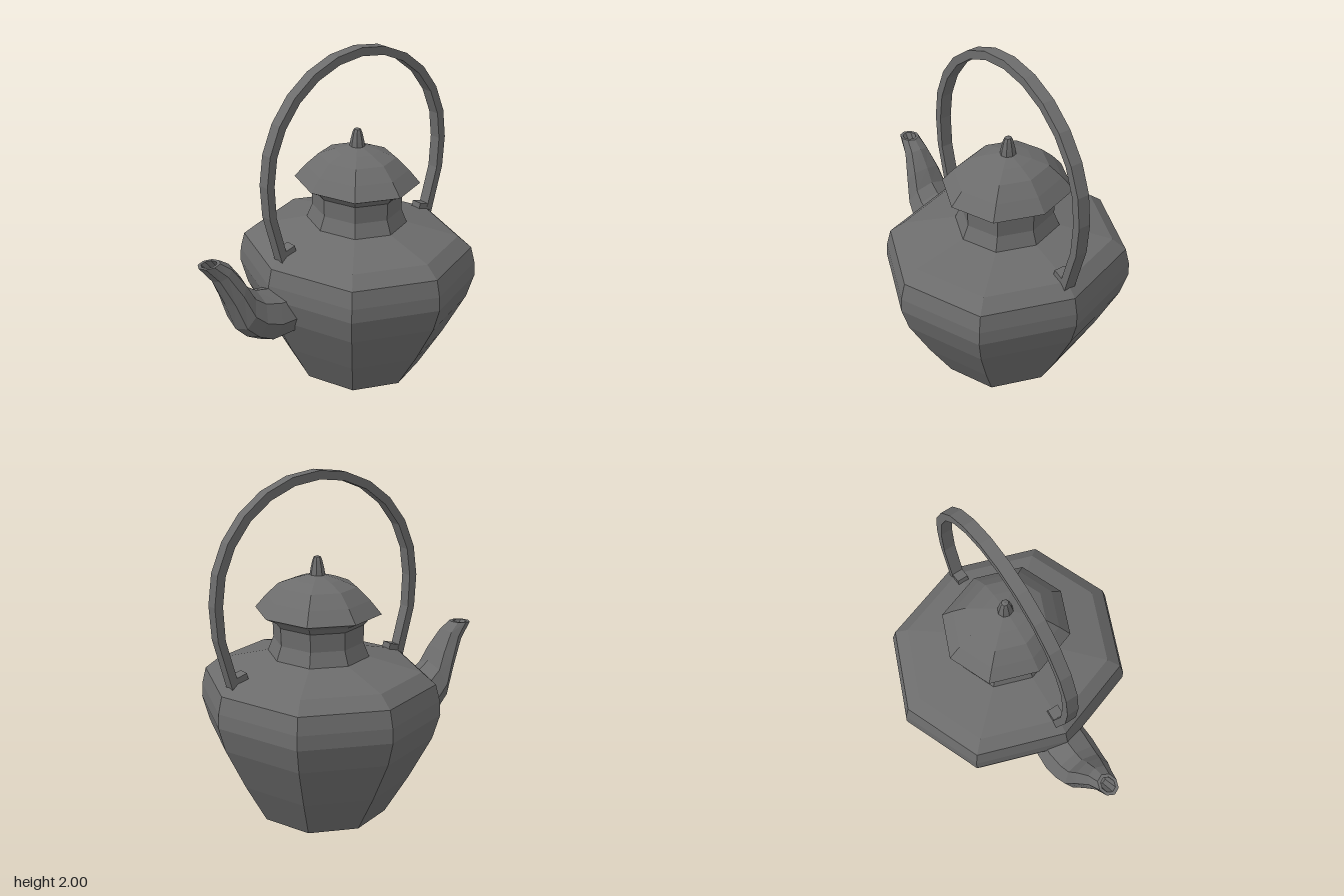
import * as THREE from 'three';

const iron = new THREE.MeshStandardMaterial({ color: 0x6c6c6c, flatShading: true });
iron.name = 'cast iron grey';
const CENTER_X = 0.205;

function part(name, geometry) {
  const mesh = new THREE.Mesh(geometry, iron);
  mesh.name = name;
  return mesh;
}

// Eight-sided turned part, slightly narrower across x, with fuller diagonal corners
function turned(name, profile) {
  const geo = new THREE.LatheGeometry(profile.map(([r, y]) => new THREE.Vector2(r, y)), 8);
  const p = geo.attributes.position;
  for (let i = 0; i < p.count; i++) {
    const x = p.getX(i), z = p.getZ(i);
    const k = Math.min(Math.abs(x), Math.abs(z)) > 1e-4 ? 1.03 : 1;
    p.setXYZ(i, x * k * 0.91, p.getY(i), z * k);
  }
  geo.computeVertexNormals();
  const mesh = part(name, geo);
  mesh.position.x = CENTER_X;
  return mesh;
}

// Octagonal loft through sections [topX, topY, bottomX, bottomY, halfWidth, scale]
function loft(sections) {
  const n = 8, pos = [], idx = [];
  for (const [tx, ty, bx, by, w, s = 1] of sections) {
    const cx = (tx + bx) / 2, cy = (ty + by) / 2;
    for (let j = 0; j < n; j++) {
      const a = (j / n) * Math.PI * 2, c = Math.cos(a) * s;
      pos.push(cx + (tx - cx) * c, cy + (ty - cy) * c, Math.sin(a) * w * s);
    }
  }
  for (let i = 0; i < sections.length - 1; i++) {
    for (let j = 0; j < n; j++) {
      const k = (j + 1) % n, a = i * n, b = a + n;
      idx.push(a + j, b + j, a + k, a + k, b + j, b + k);
    }
  }
  const geo = new THREE.BufferGeometry();
  geo.setAttribute('position', new THREE.Float32BufferAttribute(pos, 3));
  geo.setIndex(idx);
  geo.computeVertexNormals();
  return geo;
}

// Flat hoop: upper half circle, then straight legs ending in small inward hooks
function handleGeometry() {
  const outer = [[0.565, 0.88], [0.642, 1.16]], inner = [[0.597, 1.16], [0.53, 0.92]];
  const arc = (r) => Array.from({ length: 13 }, (_, i) => {
    const a = (i / 12) * Math.PI;
    return [r * Math.cos(a), 1.345 + r * Math.sin(a)];
  });
  const flip = (pts) => pts.map(([x, y]) => [-x, y]).reverse();
  const pts = [
    ...outer, ...arc(0.655), ...flip(outer),
    ...flip(inner), ...arc(0.607).reverse(), ...inner,
  ];
  const shape = new THREE.Shape(pts.map(([x, y]) => new THREE.Vector2(x, y)));
  const geo = new THREE.ExtrudeGeometry(shape, { depth: 0.07, bevelEnabled: false });
  geo.translate(CENTER_X, 0, -0.035);
  return geo;
}

function hookGeometry(side) {
  const pts = [[0.555, 0.88], [0.56, 0.935], [0.475, 0.96], [0.465, 0.92], [0.48, 0.88]];
  const shape = new THREE.Shape(pts.map(([x, y]) => new THREE.Vector2(x * side, y)));
  const geo = new THREE.ExtrudeGeometry(shape, { depth: 0.066, bevelEnabled: false });
  geo.translate(CENTER_X, 0, -0.033);
  return geo;
}

export function createModel() {
  const group = new THREE.Group();
  group.name = 'kettle';

  // Body with neck
  group.add(turned('body', [
    [0, 0.005], [0.28, 0.02], [0.39, 0.063], [0.53, 0.29], [0.66, 0.53],
    [0.703, 0.67], [0.699, 0.75], [0.675, 0.845], [0.595, 0.91], [0.295, 0.98],
    [0.262, 1.06], [0.265, 1.16], [0.3, 1.2], [0, 1.2],
  ]));

  // Domed lid with overhanging rim, and its knob
  group.add(turned('lid', [
    [0, 1.19], [0.3, 1.195], [0.365, 1.225], [0.3, 1.3], [0.225, 1.37],
    [0.13, 1.405], [0.04, 1.43], [0, 1.435],
  ]));
  group.add(turned('lidKnob', [
    [0.046, 1.42], [0.04, 1.46], [0.028, 1.51], [0.02, 1.528], [0, 1.535],
  ]));

  // Curved spout, turning inward at the tip to form the hollow mouth
  group.add(part('spout', loft([
    [-0.2, 0.71, -0.2, 0.45, 0.15],
    [-0.415, 0.73, -0.5, 0.44, 0.163],
    [-0.515, 0.75, -0.585, 0.485, 0.152],
    [-0.575, 0.79, -0.66, 0.56, 0.138],
    [-0.62, 0.87, -0.725, 0.735, 0.112],
    [-0.69, 0.965, -0.8, 0.895, 0.075],
    [-0.75, 1.005, -0.88, 0.995, 0.055],
    [-0.75, 1.005, -0.88, 0.995, 0.055, 0.7],
    [-0.7, 0.945, -0.79, 0.885, 0.055, 0.6],
    [-0.7, 0.945, -0.79, 0.885, 0.055, 0],
  ])));

  // Carrying handle
  group.add(part('handle', handleGeometry()));
  group.add(part('leftHook', hookGeometry(1)));
  group.add(part('rightHook', hookGeometry(-1)));

  return group;
}
